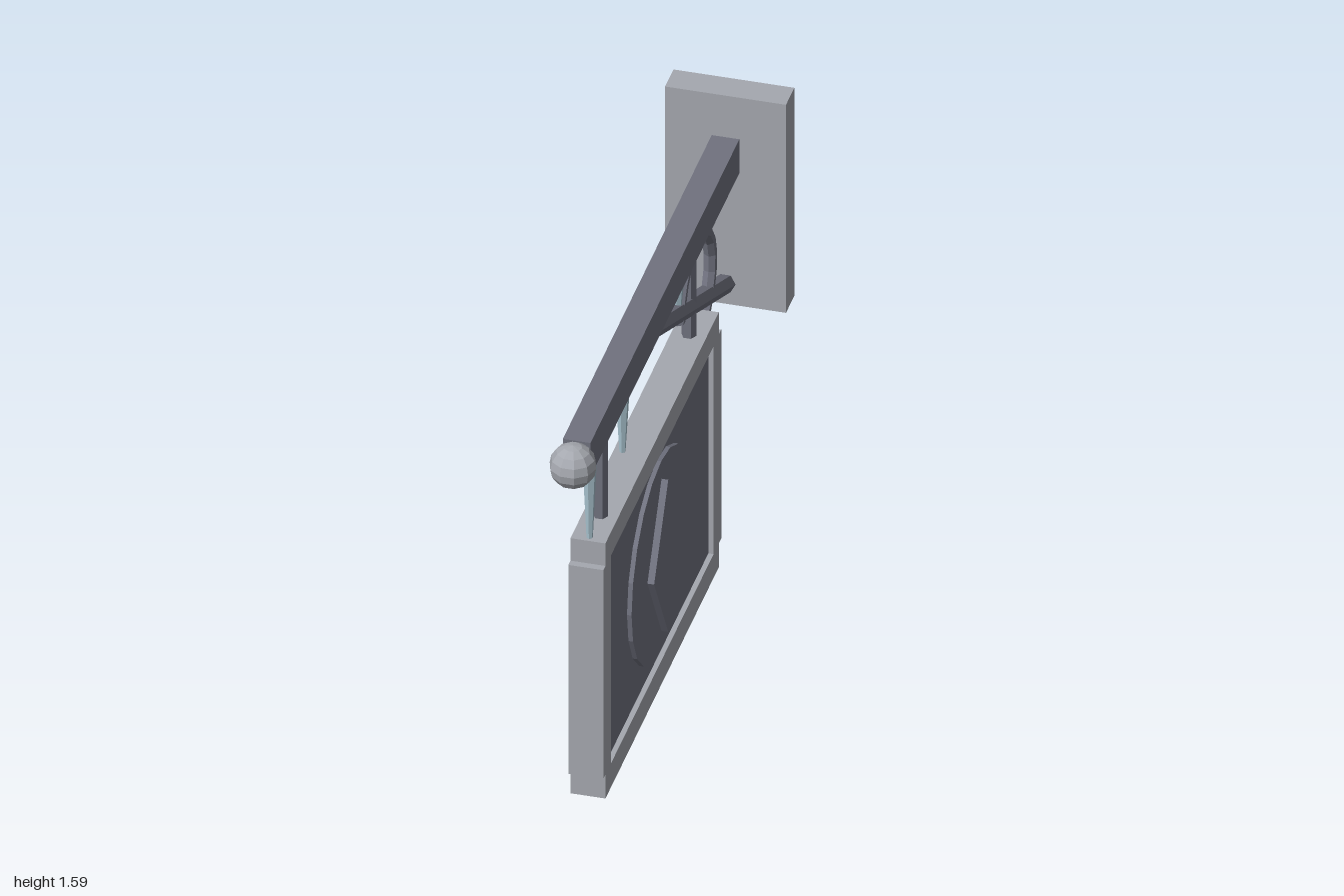
import * as THREE from 'three';

const mat = (name, color) => {
  const m = new THREE.MeshStandardMaterial({ color, flatShading: true });
  m.name = name;
  return m;
};

export function createModel() {
  const group = new THREE.Group();
  const stone = mat('pale grey', 0xa5a8af);
  const iron = mat('dark iron', 0x70727f);
  const ice = mat('ice blue', 0xa6c0cc);

  const add = (name, geometry, material, x = 0, y = 0, z = 0) => {
    const mesh = new THREE.Mesh(geometry, material);
    mesh.name = name;
    mesh.position.set(x, y, z);
    group.add(mesh);
    return mesh;
  };
  // Box given by its half width in x and its y and z ranges
  const box = (name, material, hx, y0, y1, z0, z1) =>
    add(name, new THREE.BoxGeometry(hx * 2, y1 - y0, z1 - z0), material, 0, (y0 + y1) / 2, (z0 + z1) / 2);
  // Six-sided bar between two points in the x = 0 plane, corners towards +-x
  const bar = (name, r, y0, z0, y1, z1) => {
    const g = new THREE.CylinderGeometry(r, r, Math.hypot(y1 - y0, z1 - z0), 6);
    g.rotateY(Math.PI / 6);
    const mesh = add(name, g, iron, 0, (y0 + y1) / 2, (z0 + z1) / 2);
    mesh.rotation.x = Math.atan2(z1 - z0, y1 - y0);
  };

  // Wall mount, beam and end ball
  box('wallPlate', stone, 0.197, 0.8, 1.587, -1, -0.9);
  box('beam', iron, 0.045, 1.302, 1.43, -0.9, 0.88);
  add('endBall', new THREE.SphereGeometry(0.076, 10, 8), stone, 0, 1.366, 0.924);

  // Diagonal brace with its scroll ring
  bar('brace', 0.033, 0.86, -0.94, 1.327, 0.1);
  const scroll = new THREE.TorusGeometry(0.19, 0.022, 6, 14, Math.PI * 1.5);
  scroll.rotateZ(-Math.PI / 2);
  scroll.rotateY(Math.PI / 2);
  add('scroll', scroll, iron, 0, 1.09, -0.53);

  // Hanging rods
  for (const z of [0.595, -0.462]) bar('hangingRod', 0.024, 0.95, z, 1.31, z);

  // Sign board: rails, stiles and recessed panel
  box('bottomRail', stone, 0.057, 0, 0.09, -0.61, 0.745);
  box('topRail', stone, 0.057, 0.877, 0.965, -0.61, 0.745);
  box('frontStile', stone, 0.057, 0.09, 0.88, 0.68, 0.77);
  box('backStile', stone, 0.057, 0.09, 0.88, -0.64, -0.548);
  box('panel', iron, 0.04, 0.08, 0.885, -0.56, 0.69);

  // Round emblem and diamond, showing on both faces
  const disc = new THREE.CylinderGeometry(0.355, 0.355, 0.11, 20);
  disc.rotateZ(Math.PI / 2);
  add('emblemDisc', disc, iron, 0, 0.485, 0.07);
  const diamond = new THREE.CylinderGeometry(1, 1, 0.154, 4);
  diamond.rotateZ(Math.PI / 2);
  diamond.scale(1, 0.288, 0.169);
  add('emblemDiamond', diamond, iron, 0, 0.484, 0.067);

  // Icicles under the beam: position along z and lower end
  for (const [z, low] of [[0.724, 0.955], [0.332, 1.037], [-0.328, 1.125]]) {
    const g = new THREE.CylinderGeometry(0.026, 0.01, 1.31 - low, 6);
    add('icicle', g, ice, 0, (1.31 + low) / 2, z);
  }
  return group;
}
